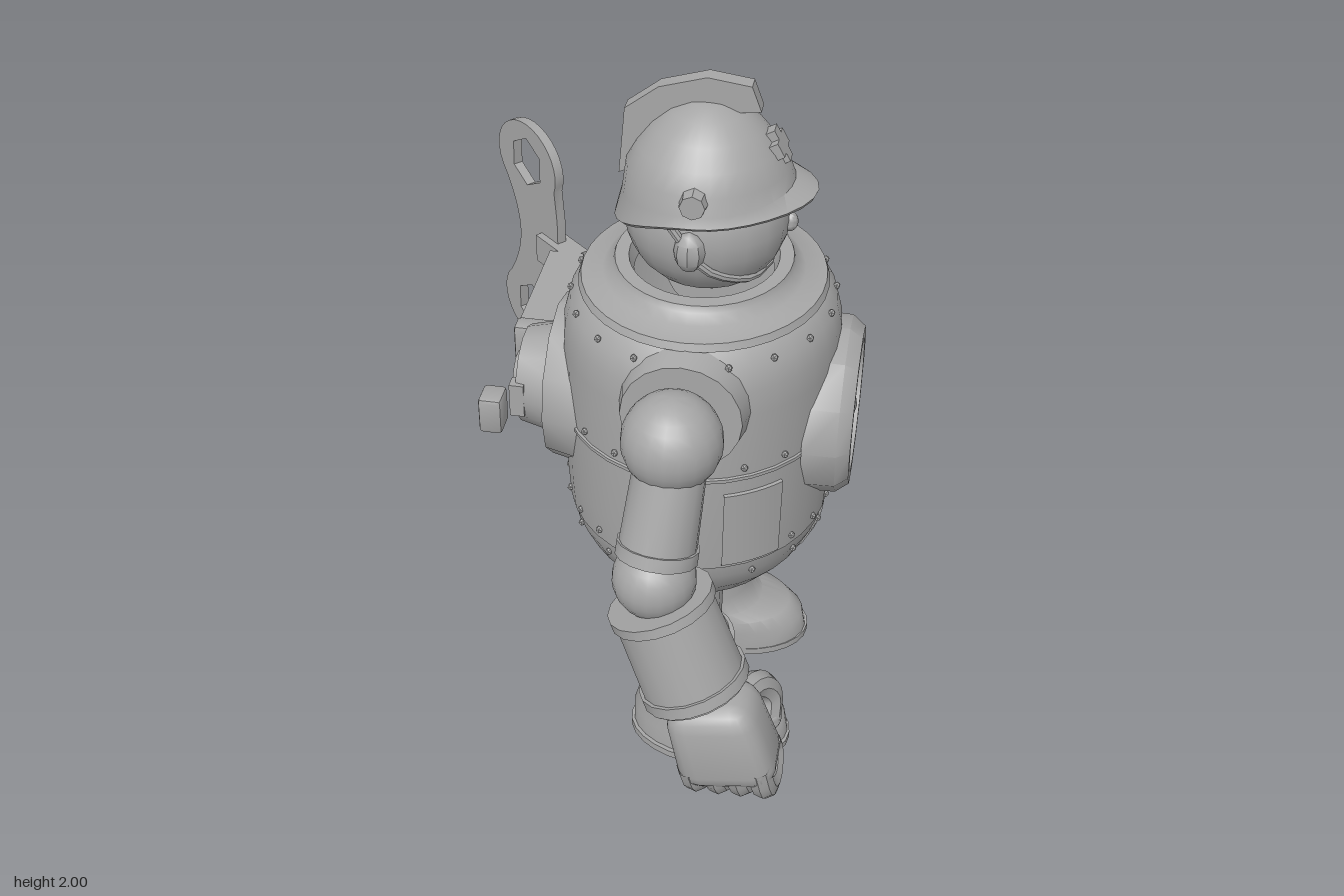
import * as THREE from 'three';
import { toCreasedNormals } from 'three/addons/utils/BufferGeometryUtils.js';
import { RoundedBoxGeometry } from 'three/addons/geometries/RoundedBoxGeometry.js';

const metal = new THREE.MeshStandardMaterial({ color: 0xa6a6a6, side: THREE.DoubleSide });
metal.name = 'grey metal';
const V = (x, y, z) => new THREE.Vector3(x, y, z);
const CX = 0.16, CZ = 0.02; // vertical axis of the body

export function createModel() {
  const root = new THREE.Group();
  root.name = 'windUpRobot';

  const add = (name, geo, pos = [0, 0, 0], parent = root) => {
    const m = new THREE.Mesh(toCreasedNormals(geo, 0.7), metal);
    m.name = name;
    m.position.set(...pos);
    parent.add(m);
    return m;
  };
  // cylinder between two points
  const rod = (name, a, b, r1, r2 = r1, n = 16, parent = root) => {
    const d = b.clone().sub(a);
    const m = add(name, new THREE.CylinderGeometry(r2, r1, d.length(), n), a.clone().add(b).multiplyScalar(0.5).toArray(), parent);
    m.quaternion.setFromUnitVectors(V(0, 1, 0), d.normalize());
    return m;
  };
  const ball = (name, r, pos, parent = root) => add(name, new THREE.SphereGeometry(r, 20, 14), pos, parent);
  const lathe = (pts, n = 36, start = 0, len = Math.PI * 2) =>
    new THREE.LatheGeometry(pts.map(p => new THREE.Vector2(...p)), n, start, len);
  const tube = (name, pts, r, parent = root) =>
    add(name, new THREE.TubeGeometry(new THREE.CatmullRomCurve3(pts), 10, r, 8), [0, 0, 0], parent);
  // skin over closed rings, each ring a function of the angle
  const loft = (rings, n = 28) => {
    const pos = [], idx = [];
    rings.forEach(f => { for (let i = 0; i < n; i++) pos.push(...f(i / n * Math.PI * 2)); });
    for (let r = 0; r < rings.length - 1; r++) for (let i = 0; i < n; i++) {
      const a = r * n + i, b = r * n + (i + 1) % n;
      idx.push(a, a + n, b, b, a + n, b + n);
    }
    const g = new THREE.BufferGeometry();
    g.setAttribute('position', new THREE.Float32BufferAttribute(pos, 3));
    g.setIndex(idx);
    g.computeVertexNormals();
    return g;
  };

  // Torso: barrel, bowl, collar, seams and plates, all slightly flattened front to back
  const torso = new THREE.Group();
  torso.name = 'torso';
  torso.position.set(CX, 0, CZ);
  torso.scale.set(0.91, 1, 1);
  root.add(torso);
  const profile = [[0.37, 0.75], [0.397, 0.752], [0.404, 0.85], [0.407, 1.06], [0.407, 1.25], [0.402, 1.32], [0.385, 1.38], [0.345, 1.43], [0.27, 1.46]];
  const bowl = [[0, 0.485], [0.1, 0.49], [0.2, 0.515], [0.29, 0.57], [0.35, 0.64], [0.385, 0.71], [0.392, 0.752], [0.3, 0.755]];
  const grow = (pts, d) => pts.map(([r, y]) => [r + d, y]);
  add('barrel', lathe(profile), [0, 0, 0], torso);
  add('bowl', lathe(bowl), [0, 0, 0], torso);
  add('collar', lathe([[0.36, 1.425], [0.352, 1.445], [0.29, 1.455], [0.262, 1.475], [0.255, 1.492], [0.215, 1.492], [0.2, 1.45]]), [0, 0, 0], torso);
  add('waistSeam', lathe([[0.405, 1.05], [0.413, 1.053], [0.413, 1.063], [0.405, 1.066]]), [0, 0, 0], torso);
  for (const s of [1, -1]) {
    const mid = Math.PI / 2 + s * 1.02;
    add('sidePanel', lathe([[0.403, 0.77], [0.411, 0.772], [0.415, 1.008], [0.406, 1.01]], 6, mid - 0.22, 0.44), [0, 0, 0], torso);
    add('bowlPlate', lathe(grow(bowl.slice(1, 6), 0.006), 8, Math.PI / 2 - 0.3 + (s < 0 ? Math.PI : 0), 0.6), [0, 0, 0], torso);
  }
  // Rivet rows
  const rivetRow = (count, y, r) => {
    for (let i = 0; i < count; i++) {
      const a = (i + 0.5) / count * Math.PI * 2;
      add('rivet', new THREE.IcosahedronGeometry(0.011), [Math.cos(a) * r, y, Math.sin(a) * r], torso);
    }
  };
  rivetRow(24, 0.785, 0.401);
  rivetRow(20, 1.09, 0.409);
  rivetRow(18, 1.39, 0.382);
  rivetRow(16, 0.715, 0.388);

  // Chest porthole
  const port = new THREE.Group();
  port.name = 'porthole';
  port.position.set(0.48, 1.06, CZ);
  port.rotation.z = -Math.PI / 2;
  root.add(port);
  add('portholeRim', lathe([[0.245, -0.02], [0.242, 0.07], [0.215, 0.105], [0.185, 0.105], [0.175, 0.05]], 12), [0, 0, 0], port);
  add('portholeLens', lathe([[0.18, 0.05], [0.1, 0.08], [0, 0.105]], 12), [0, 0, 0], port);

  // Head, nose and ears
  const head = ball('head', 0.2, [CX + 0.005, 1.62, CZ + 0.005]);
  head.scale.set(1.06, 1, 0.97);
  ball('nose', 0.025, [0.375, 1.61, CZ]).scale.set(0.9, 1.1, 0.8);
  // Helmet: dome with peak in front and neck guard behind
  const rim = (rFront, rSide, rBack, yFront, ySide, yBack) => a => {
    const c = Math.cos(a), f = c * c;
    return [CX + c * (c > 0 ? rSide + (rFront - rSide) * f : rSide + (rBack - rSide) * f),
      ySide + ((c > 0 ? yFront : yBack) - ySide) * f, CZ + 0.005 + Math.sin(a) * rSide];
  };
  const domeRing = (y, k) => rim(0.22 * k, 0.213 * k, 0.21 * k, y, y, y);
  add('helmet', loft([rim(0.28, 0.215, 0.22, 1.70, 1.685, 1.6), rim(0.285, 0.225, 0.232, 1.712, 1.695, 1.61),
    rim(0.225, 0.213, 0.212, 1.735, 1.72, 1.69), domeRing(1.77, 0.96), domeRing(1.82, 0.83), domeRing(1.87, 0.65),
    domeRing(1.91, 0.43), domeRing(1.932, 0.2), domeRing(1.937, 0.001)], 32));
  // Helmet crest
  const crest = new THREE.Shape([[-0.06, 1.72], [-0.045, 1.9], [0.04, 1.965], [0.16, 2.0], [0.27, 1.985], [0.295, 1.92],
    [0.22, 1.91], [0.12, 1.915], [0.03, 1.85], [-0.02, 1.74]].map(p => new THREE.Vector2(...p)));
  add('crest', new THREE.ExtrudeGeometry(crest, { depth: 0.046, bevelEnabled: false }), [0, 0, CZ - 0.02]);
  // Front badge
  for (const [h, w] of [[0.09, 0.04], [0.04, 0.09]]) {
    add('helmetBadge', new THREE.BoxGeometry(0.035, h, w), [0.335, 1.825, CZ + 0.006]).rotation.z = 0.5;
  }
  for (const s of [1, -1]) {
    const z = d => CZ + s * d;
    rod('helmetKnob', V(0.16, 1.755, z(0.19)), V(0.16, 1.755, z(0.233)), 0.038, 0.032, 8);
    add('ear', new THREE.SphereGeometry(0.05, 8, 6), [0.15, 1.61, z(0.195)]).scale.set(0.8, 1.1, 0.7);
    tube('chinStrap', [V(0.1, 1.68, z(0.195)), V(0.19, 1.56, z(0.19)), V(0.29, 1.5, z(0.11)), V(0.33, 1.49, z(0))], 0.012);
  }

  // Arms
  for (const s of [1, -1]) {
    const P = (x, y, z) => V(x, y, CZ + s * z);
    rod('shoulderSocket', P(0.17, 1.26, 0.32), P(0.17, 1.26, 0.415), 0.175, 0.155, 20);
    ball('shoulder', 0.128, P(0.165, 1.265, 0.51).toArray());
    rod('upperArm', P(0.165, 1.2, 0.53), P(0.145, 0.98, 0.595), 0.092, 0.1);
    rod('armBand', P(0.147, 1.0, 0.588), P(0.144, 0.965, 0.6), 0.106);
    ball('elbow', 0.108, P(0.14, 0.9, 0.605).toArray());
    // gauntlet cuff with rims
    const top = P(0.155, 0.835, 0.61), end = P(0.262, 0.575, 0.645);
    const along = t => top.clone().lerp(end, t);
    rod('cuff', top, end, 0.132, 0.138, 18);
    rod('cuffTopRim', along(0), along(0.1), 0.142, 0.142, 18);
    rod('cuffLowerRim', along(0.85), along(0.97), 0.146, 0.146, 18);
    // hand
    const hand = new THREE.Group();
    hand.name = 'hand';
    hand.position.copy(P(0.335, 0.47, 0.645));
    hand.rotation.z = 0.18;
    root.add(hand);
    const palm = new RoundedBoxGeometry(0.26, 0.27, 0.2, 2, 0.06);
    const p = palm.attributes.position;
    for (let i = 0; i < p.count; i++) { // narrows towards the wrist
      const k = 1 - Math.max(0, p.getY(i)) * 1.1;
      p.setXYZ(i, p.getX(i) * k - p.getY(i) * 0.1, p.getY(i), p.getZ(i) * k);
    }
    add('palm', palm, [0, 0, s * 0.045], hand);
    for (let i = 0; i < 4; i++) {
      const x = -0.085 + i * 0.06, y = i * -0.008;
      tube('finger', [V(x, -0.06, s * 0.11), V(x, -0.135 + y, s * 0.085), V(x, -0.175 + y, s * 0.01),
        V(x, -0.14 + y, s * -0.06), V(x, -0.1 + y, s * -0.04)], 0.034, hand);
    }
    tube('thumb', [V(0.04, 0.07, 0), V(0.08, 0.05, s * -0.08), V(0.1, -0.02, s * -0.12), V(0.09, -0.09, s * -0.1)], 0.038, hand);
    ball('thumbTip', 0.038, [0.09, -0.09, s * -0.1], hand);
  }

  // Legs and boots
  for (const s of [1, -1]) {
    const z = CZ + s * 0.22;
    add('leg', new THREE.CylinderGeometry(0.11, 0.105, 0.4, 10), [CX, 0.47, z]);
    const ring = (y, cx, rx, rz) => a => [cx + Math.cos(a) * rx, y, z + s * (rz - 0.14) * 0.8 + Math.sin(a) * rz];
    add('boot', loft([ring(0, 0.245, 0.001, 0.001), ring(0, 0.245, 0.235, 0.157), ring(0.022, 0.245, 0.235, 0.157), ring(0.022, 0.245, 0.228, 0.15),
      ring(0.08, 0.24, 0.222, 0.148), ring(0.12, 0.225, 0.195, 0.143), ring(0.145, 0.185, 0.15, 0.138), ring(0.2, 0.163, 0.133, 0.135),
      ring(0.33, 0.165, 0.138, 0.138), ring(0.35, 0.165, 0.14, 0.142), ring(0.35, 0.165, 0.122, 0.122), ring(0.28, 0.165, 0.12, 0.12)]));
  }

  // Winding mechanism on the back
  rod('backFlange', V(-0.12, 1.06, CZ), V(-0.235, 1.06, CZ), 0.25, 0.225, 12);
  rod('backDrum', V(-0.2, 1.05, CZ), V(-0.33, 1.05, CZ), 0.165, 0.135, 14);
  rod('drumCap', V(-0.32, 1.05, CZ), V(-0.355, 1.05, CZ), 0.07, 0.06, 10);
  for (const s of [1, -1]) add('drumLug', new THREE.BoxGeometry(0.04, 0.1, 0.04), [-0.325, 1.05, CZ + s * 0.12]);
  for (let i = 0; i < 8; i++) {
    const a = (i + 0.5) * Math.PI / 4;
    add('flangeRivet', new THREE.IcosahedronGeometry(0.012), [-0.228, 1.06 + Math.sin(a) * 0.2, CZ + Math.cos(a) * 0.2]);
  }
  add('axleEnd', new RoundedBoxGeometry(0.065, 0.11, 0.08, 1, 0.012), [-0.38, 1.045, 0.2]);
  add('keyCollar', new RoundedBoxGeometry(0.13, 0.12, 0.06, 1, 0.012), [-0.335, 1.045, -0.14]);
  add('keyShaft', new THREE.BoxGeometry(0.105, 0.095, 0.4), [-0.342, 1.045, -0.35]);
  // Key: shaft bends into a two-lobed blade with six-sided holes
  const key = new THREE.Group();
  key.name = 'key';
  key.position.set(-0.485, 1.045, -0.71);
  key.rotation.y = -0.74;
  root.add(key);
  const blade = new THREE.Shape();
  blade.moveTo(0.155, -0.12);
  blade.lineTo(0.155, 0.12);
  blade.absellipse(0, 0.26, 0.152, 0.128, -0.35, Math.PI + 0.7, false);
  blade.quadraticCurveTo(-0.05, 0.08, -0.05, 0);
  blade.quadraticCurveTo(-0.05, -0.08, -0.115, -0.177);
  blade.absellipse(0, -0.26, 0.152, 0.128, Math.PI - 0.7, Math.PI * 2 + 0.35, false);
  for (const s of [1, -1]) {
    const hole = new THREE.Path();
    for (let i = 0; i < 6; i++) {
      const a = -i * Math.PI / 3 + 0.5;
      hole[i ? 'lineTo' : 'moveTo'](Math.cos(a) * 0.08, s * 0.26 + Math.sin(a) * 0.08);
    }
    hole.closePath();
    blade.holes.push(hole);
  }
  add('keyBlade', new THREE.ExtrudeGeometry(blade, { depth: 0.03, bevelEnabled: false, curveSegments: 10 }), [0, 0, -0.015], key);
  add('keyElbow', new THREE.BoxGeometry(0.17, 0.09, 0.075), [0.155, 0, 0], key);

  return root;
}
